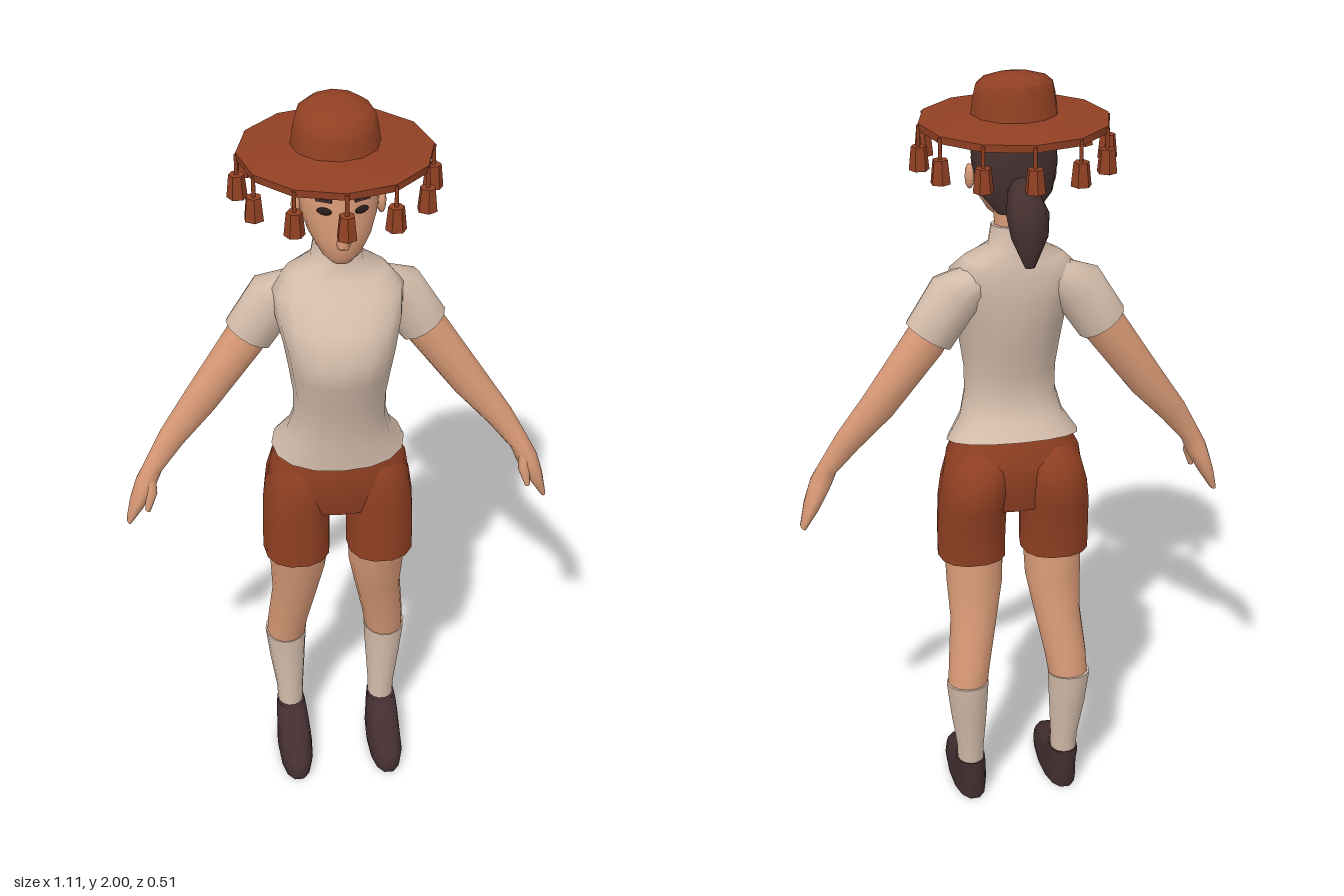
import * as THREE from 'three';
import { toCreasedNormals } from 'three/addons/utils/BufferGeometryUtils.js';

const mat = (name, color) => {
  const m = new THREE.MeshStandardMaterial({ color });
  m.name = name;
  return m;
};
const V = (x, y, z) => new THREE.Vector3(x, y, z);

// Skin a list of rings (arrays of points) and close both ends
function loft(rings) {
  const n = rings[0].length, pos = [], idx = [];
  const push = p => pos.push(p.x, p.y, p.z) / 3 - 1;
  rings.forEach(r => r.forEach(push));
  for (let i = 0; i < rings.length - 1; i++) {
    for (let j = 0; j < n; j++) {
      const a = i * n + j, b = i * n + (j + 1) % n;
      idx.push(a, a + n, b, b, a + n, b + n);
    }
  }
  [rings[0], rings[rings.length - 1]].forEach((r, end) => {
    const mid = r.reduce((s, p) => s.add(p), V(0, 0, 0)).divideScalar(n);
    const c = push(mid), first = pos.length / 3;
    r.forEach(push);
    for (let j = 0; j < n; j++) {
      const a = first + j, b = first + (j + 1) % n;
      if (end) idx.push(c, b, a); else idx.push(c, a, b);
    }
  });
  const g = new THREE.BufferGeometry();
  g.setAttribute('position', new THREE.Float32BufferAttribute(pos, 3));
  g.setIndex(idx);
  g.computeVertexNormals();
  return g;
}

// Upright form, rows from the bottom up: [y, zFront, zBack, halfWidth, x, frontLift]
function body(rows, seg = 14, power = 1) {
  const soft = v => Math.sign(v) * Math.abs(v) ** power;
  return loft(rows.map(([y, zf, zb, w, x = 0, lift = 0]) =>
    Array.from({ length: seg }, (_, j) => {
      const t = j / seg * Math.PI * 2, s = soft(Math.sin(t));
      return V(x + w * soft(Math.cos(t)), y + lift * s, (zf + zb) / 2 + (zf - zb) / 2 * s);
    })));
}

// Form along a path, rows: [x, y, z, radius across, radius along ref]
function limb(rows, ref = V(0, 0, 1), seg = 10) {
  const pts = rows.map(r => V(r[0], r[1], r[2]));
  return loft(rows.map((r, i) => {
    const t = pts[Math.min(i + 1, pts.length - 1)].clone().sub(pts[Math.max(i - 1, 0)]).normalize();
    const v = ref.clone().addScaledVector(t, -ref.dot(t)).normalize();
    const u = t.clone().cross(v);
    return Array.from({ length: seg }, (_, j) => {
      const a = j / seg * Math.PI * 2;
      return pts[i].clone().addScaledVector(u, r[3] * Math.cos(a)).addScaledVector(v, r[4] * Math.sin(a));
    });
  }));
}

export function createModel() {
  const model = new THREE.Group();
  const rust = mat('rust cloth', 0x914023);
  const cream = mat('cream cloth', 0xd3bcaa);
  const skin = mat('skin', 0xd99a77);
  const hair = mat('dark hair', 0x44302f);
  const leather = mat('dark leather', 0x432e30);
  const eyeDark = mat('eye dark', 0x2a1c1a);
  const add = (name, geo, material, parent = model) => {
    const m = new THREE.Mesh(geo, material);
    m.name = name;
    parent.add(m);
    return m;
  };

  // Shirt with high collar
  add('shirt', body([
    [1.055, 0.1, -0.125, 0.172, 0, -0.025], [1.11, 0.104, -0.092, 0.134, 0, -0.012],
    [1.17, 0.115, -0.07, 0.118], [1.24, 0.135, -0.077, 0.118], [1.31, 0.157, -0.095, 0.128],
    [1.38, 0.174, -0.11, 0.14], [1.45, 0.135, -0.118, 0.158], [1.51, 0.08, -0.118, 0.163],
    [1.55, 0.045, -0.11, 0.125], [1.58, 0.03, -0.104, 0.066], [1.632, 0.026, -0.096, 0.057, 0, -0.008],
  ], 16, 0.9), cream);

  // Shorts seat
  add('shortsSeat', body([
    [0.872, 0.075, -0.1, 0.15], [0.95, 0.094, -0.12, 0.185], [1.01, 0.094, -0.118, 0.176], [1.07, 0.09, -0.1, 0.145],
  ], 16, 0.85), rust);

  // Neck and head
  add('neck', limb([[0, 1.56, -0.04, 0.05, 0.05], [0, 1.64, -0.034, 0.05, 0.052], [0, 1.74, -0.02, 0.055, 0.06]]), skin);
  add('head', body([
    [1.622, 0.085, 0.04, 0.025], [1.645, 0.104, -0.01, 0.05], [1.69, 0.11, -0.055, 0.077],
    [1.74, 0.104, -0.08, 0.094], [1.79, 0.106, -0.09, 0.098], [1.88, 0.095, -0.09, 0.09],
  ]), skin);
  add('nose', body([
    [1.675, 0.118, 0.09, 0.014], [1.69, 0.142, 0.08, 0.017], [1.72, 0.124, 0.08, 0.011], [1.765, 0.106, 0.08, 0.006],
  ], 6), skin);

  // Hair cap, hairline climbing toward the forehead
  add('hair', body([
    [1.672, -0.05, -0.095, 0.05], [1.72, -0.015, -0.114, 0.088], [1.78, 0.03, -0.12, 0.104],
    [1.83, 0.068, -0.118, 0.106], [1.878, 0.105, -0.11, 0.1],
  ]), hair);
  add('ponytail', limb([
    [0, 1.75, -0.09, 0.026, 0.026], [0, 1.735, -0.14, 0.04, 0.04], [0, 1.705, -0.185, 0.049, 0.052],
    [0, 1.655, -0.207, 0.032, 0.045], [0, 1.58, -0.21, 0.007, 0.012],
  ], V(1, 0, 0), 8), hair);

  // Hat: brim and crown, the crown sloping down toward the front
  const hat = new THREE.Group();
  hat.name = 'hat';
  hat.position.x = -0.007;
  model.add(hat);
  const brim = [[0, 1.872], [0.11, 1.874], [0.232, 1.866], [0.233, 1.884], [0.1, 1.9], [0, 1.9]];
  const crown = [[0.108, 1.89], [0.1, 1.945], [0.094, 1.97], [0.075, 1.986], [0.04, 1.995], [0, 1.998]];
  const turned = (pts, crease) => toCreasedNormals(
    new THREE.LatheGeometry(pts.map(p => new THREE.Vector2(...p)), 12), crease);
  add('hatBrim', turned(brim, 0.7), rust, hat);
  const crownGeo = turned(crown, 0.8), cp = crownGeo.attributes.position;
  for (let i = 0; i < cp.count; i++) {
    const y = cp.getY(i);
    if (y > 1.92) cp.setY(i, y - cp.getZ(i) * 0.15);
  }
  add('hatCrown', toCreasedNormals(crownGeo, 0.8), rust, hat);

  // Corks hanging on strings around the brim
  for (let i = 0; i < 12; i++) {
    const a = i / 12 * Math.PI * 2, x = Math.sin(a) * 0.232, z = Math.cos(a) * 0.232;
    const string = add('corkString', new THREE.CylinderGeometry(0.005, 0.005, 0.06, 5), rust, hat);
    string.position.set(x, 1.85, z);
    const cork = add('cork', toCreasedNormals(new THREE.CylinderGeometry(0.019, 0.025, 0.058, 6), 0.5), rust, hat);
    cork.position.set(x, 1.8, z);
    cork.rotation.y = a;
  }

  // Paired parts, s = +1 for the model's left and -1 for its right
  for (const s of [1, -1]) {
    const side = s > 0 ? 'left' : 'right';
    const flip = rows => rows.map(r => [r[0] * s, ...r.slice(1)]);
    const flipX = rows => rows.map(r => [r[0], r[1], r[2], r[3], r[4] * s, r[5] ?? 0]);

    add(side + 'Sleeve', limb(flip([
      [0.09, 1.505, -0.045, 0.04, 0.05], [0.155, 1.465, -0.055, 0.07, 0.062], [0.22, 1.365, -0.055, 0.066, 0.06],
    ]), V(0, 0, 1), 12), cream);
    add(side + 'Arm', limb(flip([
      [0.17, 1.45, -0.055, 0.045, 0.045], [0.228, 1.352, -0.054, 0.055, 0.051], [0.347, 1.183, -0.042, 0.047, 0.038],
      [0.425, 1.085, -0.026, 0.036, 0.03], [0.479, 1.005, -0.01, 0.026, 0.024],
      [0.5, 0.96, -0.006, 0.028, 0.036], [0.526, 0.9, -0.008, 0.02, 0.04], [0.549, 0.843, -0.01, 0.008, 0.022],
    ])), skin);
    add(side + 'Thumb', limb(flip([
      [0.487, 0.985, 0.005, 0.014, 0.014], [0.487, 0.945, 0.022, 0.015, 0.014], [0.499, 0.895, 0.03, 0.007, 0.007],
    ]), V(0, 0, 1), 6), skin);

    add(side + 'ShortsLeg', body(flipX([
      [0.722, 0.086, -0.11, 0.089, 0.111, -0.006], [0.8, 0.088, -0.115, 0.089, 0.111], [0.88, 0.092, -0.134, 0.088, 0.109],
      [0.94, 0.093, -0.146, 0.087, 0.102], [1.0, 0.085, -0.13, 0.08, 0.093], [1.045, 0.06, -0.09, 0.06, 0.08],
    ]), 14, 0.85), rust);
    add(side + 'Leg', body(flipX([
      [0.34, -0.036, -0.146, 0.052, 0.14], [0.42, -0.02, -0.14, 0.056, 0.132], [0.55, 0.012, -0.112, 0.063, 0.113],
      [0.65, 0.045, -0.103, 0.075, 0.106], [0.8, 0.075, -0.095, 0.08, 0.105],
    ])), skin);
    add(side + 'Sock', body(flipX([
      [0.08, -0.035, -0.115, 0.035, 0.13], [0.16, -0.037, -0.118, 0.037, 0.131],
      [0.27, -0.036, -0.138, 0.049, 0.136], [0.366, -0.03, -0.151, 0.057, 0.139, -0.008],
    ])), cream);
    add(side + 'Shoe', body(flipX([
      [0, 0.15, -0.122, 0.046, 0.128], [0.025, 0.156, -0.125, 0.049, 0.128], [0.048, 0.14, -0.124, 0.047, 0.128],
      [0.075, 0.075, -0.122, 0.045, 0.129], [0.094, 0.02, -0.12, 0.043, 0.13], [0.115, -0.024, -0.119, 0.039, 0.13],
    ]), 14, 0.85), leather);

    // Ear, eye and brow
    const ear = add(side + 'Ear', new THREE.SphereGeometry(1, 8, 6), skin);
    ear.scale.set(0.012, 0.032, 0.02);
    ear.position.set(s * 0.102, 1.745, 0.005);
    const eye = add(side + 'Eye', new THREE.SphereGeometry(1, 8, 6), eyeDark);
    eye.scale.set(0.019, 0.01, 0.004);
    eye.position.set(s * 0.044, 1.77, 0.095);
    eye.rotation.y = s * 0.45;
    const brow = add(side + 'Brow', new THREE.BoxGeometry(0.04, 0.007, 0.008), hair);
    brow.position.set(s * 0.045, 1.798, 0.094);
    brow.rotation.y = s * 0.45;
  }
  return model;
}
